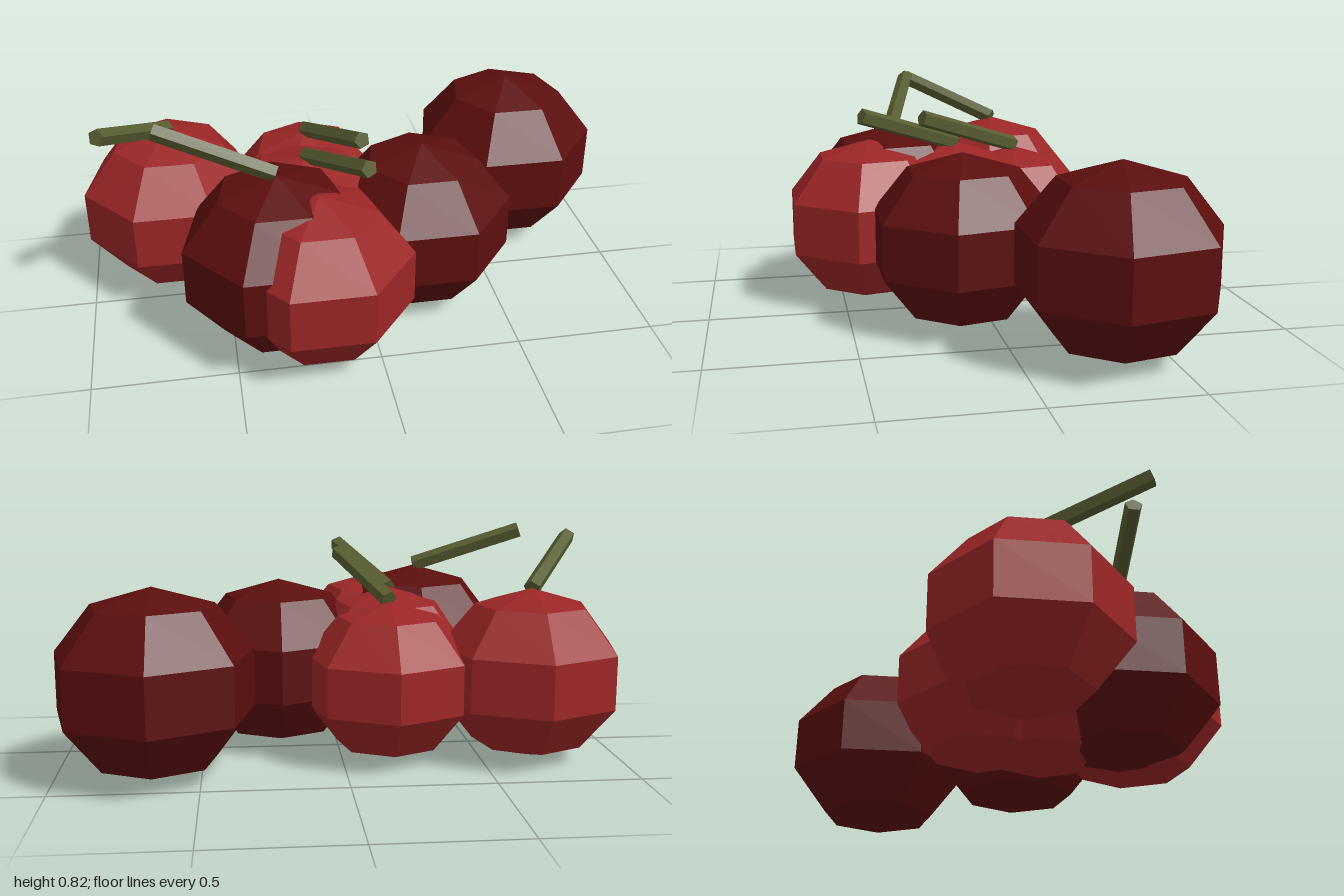
import * as THREE from 'three';

const flat = (name, color) => {
  const m = new THREE.MeshStandardMaterial({ color, flatShading: true });
  m.name = name;
  return m;
};

export function createModel() {
  const group = new THREE.Group();
  group.name = 'berryCluster';

  const lightRed = flat('lightRed', 0x9c2626);
  const darkRed = flat('darkRed', 0x5c0e0e);
  const stemGreen = flat('stemGreen', 0x585c30);

  // Berries: seven-sided, slightly flattened balls resting on the ground
  const addBerry = (name, x, z, r, material) => {
    const geo = new THREE.SphereGeometry(r, 7, 5);
    geo.rotateY(-Math.PI / 2);
    geo.scale(1, 0.9, 1);
    const mesh = new THREE.Mesh(geo, material);
    mesh.name = name;
    mesh.position.set(x, 0.9 * r + 0.004, z);
    group.add(mesh);
  };
  addBerry('rightBerry', -0.68, -0.184, 0.343, lightRed);
  addBerry('backBerry', -0.17, -0.165, 0.318, lightRed);
  addBerry('middleBerry', -0.195, 0.06, 0.33, lightRed);
  addBerry('frontBerry', -0.195, 0.389, 0.34, lightRed);
  addBerry('frontRightDarkBerry', -0.325, 0.29, 0.36, darkRed);
  addBerry('leftDarkBerry', 0.215, 0.104, 0.346, darkRed);
  addBerry('farLeftDarkBerry', 0.653, -0.33, 0.367, darkRed);

  // Stems: thin straight prisms leaning out from the berry tops
  const up = new THREE.Vector3(0, 1, 0);
  const addStem = (name, base, tip) => {
    const a = new THREE.Vector3(...base);
    const b = new THREE.Vector3(...tip);
    const dir = b.clone().sub(a);
    const mesh = new THREE.Mesh(
      new THREE.CylinderGeometry(0.031, 0.031, dir.length(), 5), stemGreen);
    mesh.name = name;
    mesh.position.copy(a).add(b).multiplyScalar(0.5);
    mesh.quaternion.setFromUnitVectors(up, dir.normalize());
    group.add(mesh);
  };
  addStem('rightStem', [-0.68, 0.62, -0.184], [-0.905, 0.775, 0.155]);
  addStem('frontRightStem', [-0.325, 0.655, 0.285], [-0.72, 0.795, 0.18]);
  addStem('backStem', [-0.168, 0.585, -0.165], [-0.02, 0.715, 0.21]);
  addStem('middleStem', [-0.195, 0.595, 0.06], [-0.035, 0.725, 0.43]);

  return group;
}
